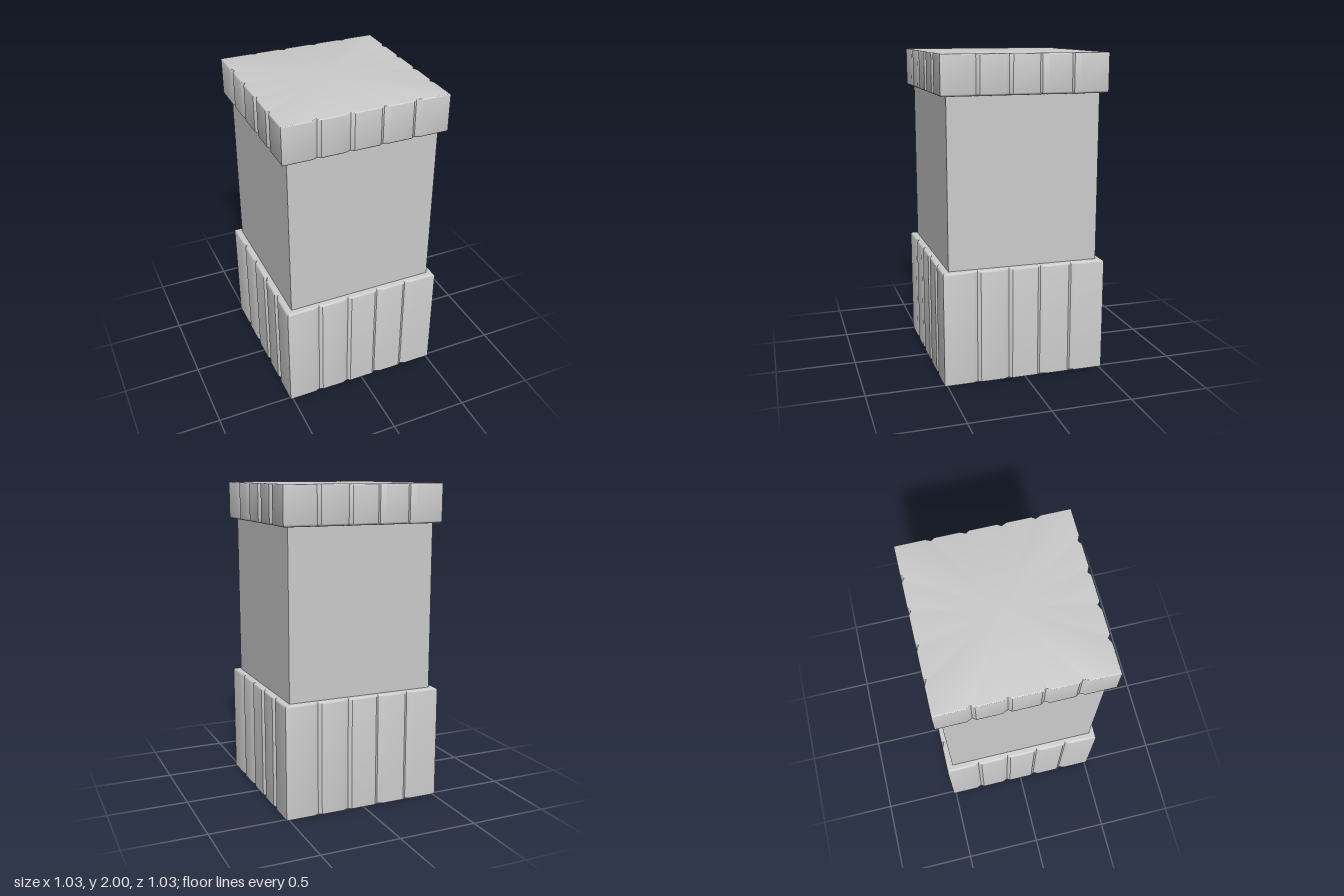
import * as THREE from 'three';
import { toCreasedNormals } from 'three/addons/utils/BufferGeometryUtils.js';

const HALF = 0.516;
const DEPTH = 0.015;

// Square outline with four V-shaped grooves on each side
function groovedOutline() {
  const side = [[-HALF, HALF]];
  for (const g of [-0.303, -0.102, 0.102, 0.303]) {
    const s = Math.sign(g), outer = g + s * 0.034, inner = g - s * 0.02;
    side.push([Math.min(outer, inner), HALF], [g, HALF - DEPTH], [Math.max(outer, inner), HALF]);
  }
  const points = [];
  for (let k = 0, pts = side; k < 4; k++) {
    points.push(...pts);
    pts = pts.map(([x, z]) => [z, -x]);
  }
  return points;
}

// Stack of outlines; each level is [y, inset], closed by a fan at both ends
function groovedBlock(levels) {
  const outline = groovedOutline();
  const rings = levels.map(([y, inset]) => {
    const s = 1 - inset / HALF;
    return outline.map(([x, z]) => [x * s, y, z * s]);
  });
  const bottom = [0, levels[0][0], 0];
  const top = [0, levels[levels.length - 1][0], 0];
  const pos = [];
  const tri = (a, b, c) => pos.push(...a, ...b, ...c);
  for (let i = 0; i < outline.length; i++) {
    const j = (i + 1) % outline.length;
    tri(bottom, rings[0][j], rings[0][i]);
    for (let k = 0; k + 1 < rings.length; k++) {
      const lo = rings[k], hi = rings[k + 1];
      tri(lo[i], lo[j], hi[j]);
      tri(lo[i], hi[j], hi[i]);
    }
    const last = rings[rings.length - 1];
    tri(top, last[i], last[j]);
  }
  const geo = new THREE.BufferGeometry();
  geo.setAttribute('position', new THREE.Float32BufferAttribute(pos, 3));
  return toCreasedNormals(geo, 0.55);
}

// Rounded rim levels: dir +1 rounds towards the top, -1 towards the bottom
function rim(y, r, dir) {
  const out = [];
  for (let i = 0; i <= 4; i++) {
    const a = (i / 4) * Math.PI / 2;
    out.push([y - dir * r * (1 - Math.sin(a)), r * (1 - Math.cos(a))]);
  }
  return dir > 0 ? out : out.reverse();
}

export function createModel() {
  const group = new THREE.Group();
  const material = new THREE.MeshStandardMaterial({ color: 0xcccccc });
  const add = (name, geometry) => {
    const mesh = new THREE.Mesh(geometry, material);
    mesh.name = name;
    group.add(mesh);
    return mesh;
  };

  // Grooved base with a rounded upper rim
  add('base', groovedBlock([[0, 0], ...rim(0.717, 0.014, 1)]));

  // Plain square shaft
  add('shaft', new THREE.BoxGeometry(0.95, 1.1, 0.95)).position.y = 1.24;

  // Grooved cap, rounded below and lightly eased on top
  add('cap', groovedBlock([...rim(1.76, 0.014, -1), ...rim(2, 0.007, 1)]));

  return group;
}
